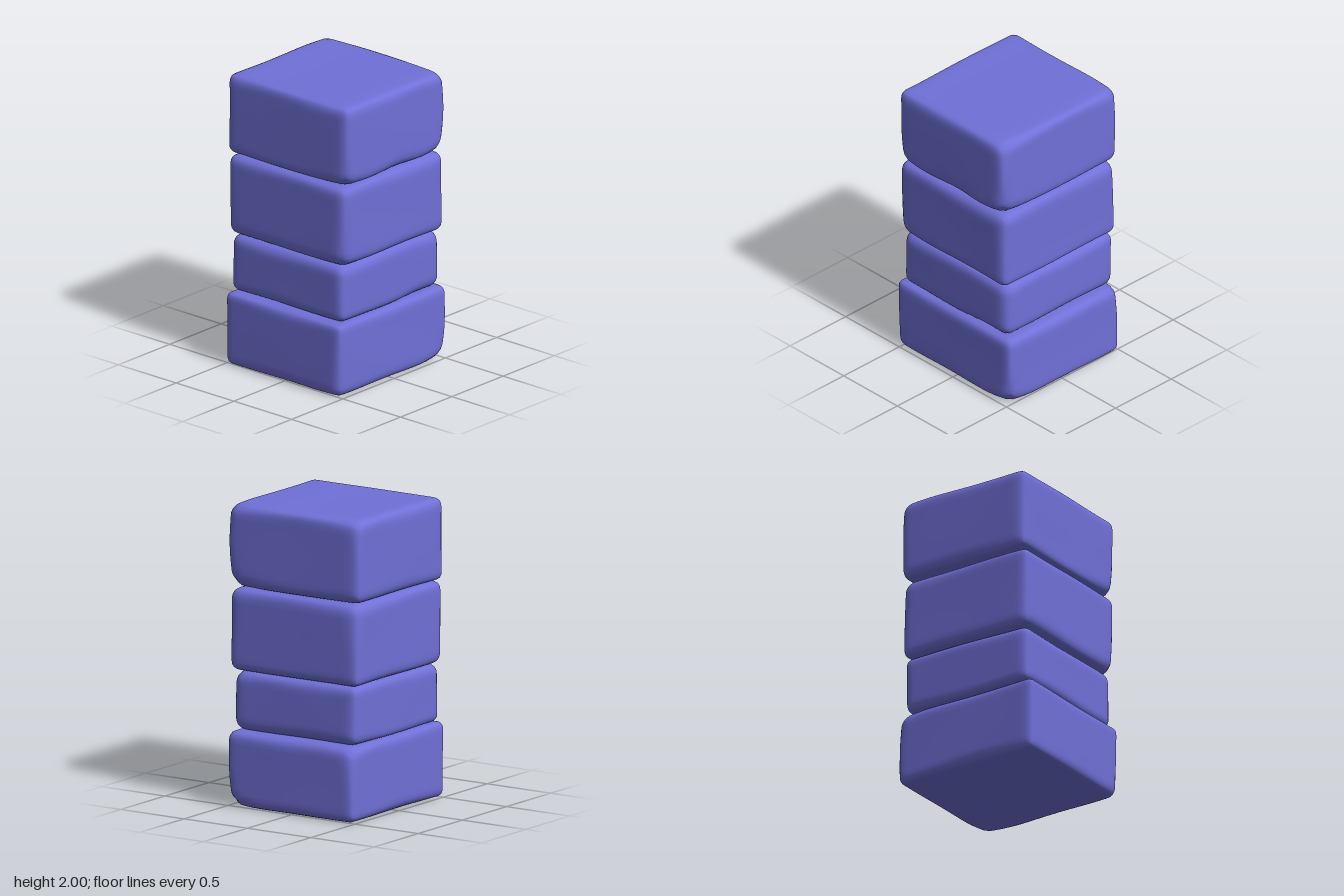
import * as THREE from 'three';
import { mergeVertices } from 'three/addons/utils/BufferGeometryUtils.js';

// Smooth repeatable unevenness, about -1..1
function wobble(p, seed) {
  return (Math.sin(p.x * 7 + seed * 2.1) + Math.sin(p.y * 9 + seed * 3.7 + p.x * 3) + Math.sin(p.z * 8 + seed * 1.3)) / 3;
}

// Worn stone block: a box whose edges are rounded by a varying radius.
// chips: [x, y, z, extra radius], with x, y, z in -1..1 of the block
function blockGeometry(w, h, d, seed, chips) {
  let geo = new THREE.BoxGeometry(2, 2, 2, 22, 18, 22);
  geo.deleteAttribute('uv');
  geo.deleteAttribute('normal');
  geo = mergeVertices(geo);
  const half = new THREE.Vector3(w / 2, h / 2, d / 2);
  const pos = geo.attributes.position;
  const p = new THREE.Vector3(), inner = new THREE.Vector3(), limit = new THREE.Vector3(), c = new THREE.Vector3();
  const crowd = (t) => Math.sin(t * Math.PI / 2); // more rows near the edges
  for (let i = 0; i < pos.count; i++) {
    p.fromBufferAttribute(pos, i);
    p.set(crowd(p.x), crowd(p.y), crowd(p.z)).multiply(half);
    let r = 0.062 + 0.02 * wobble(p, seed);
    for (const [x, y, z, extra] of chips) {
      c.set(x, y, z).multiply(half);
      r += extra * Math.exp(-p.distanceToSquared(c) / 0.025);
    }
    limit.copy(half).subScalar(r);
    inner.copy(p).clamp(limit.clone().negate(), limit);
    p.sub(inner).normalize().multiplyScalar(r).add(inner);
    p.multiplyScalar(1 + 0.005 * wobble(p, seed + 5));
    pos.setXYZ(i, p.x, p.y, p.z);
  }
  geo.computeVertexNormals();
  return geo;
}

export function createModel() {
  const group = new THREE.Group();
  const stone = new THREE.MeshStandardMaterial({ color: 0x7070d8 });
  stone.name = 'violet stone';

  // name, [x range], [y range], [z range], chips
  const blocks = [
    ['baseBlock', [-0.533, 0.53], [0.005, 0.505], [-0.5, 0.5],
      [[1, -1, 1, 0.06], [-1, -1, 1, 0.02], [1, 1, -1, 0.03]]],
    ['lowerBlock', [-0.49, 0.485], [0.505, 0.897], [-0.49, 0.485],
      [[0.5, -1, 1, 0.02], [1, 1, 1, 0.02]]],
    ['middleBlock', [-0.5, 0.487], [0.897, 1.445], [-0.505, 0.51],
      [[1, 1, -1, 0.02], [-1, -1, 1, 0.02]]],
    ['topBlock', [-0.49, 0.488], [1.45, 2], [-0.522, 0.525],
      [[1, -1, 1, 0.05], [-1, -1, 1, 0.05], [0.1, -1, 1, 0.03], [1, 1, 1, 0.03], [1, 1, -1, 0.02]]],
  ];
  blocks.forEach(([name, x, y, z, chips], i) => {
    const mesh = new THREE.Mesh(blockGeometry(x[1] - x[0], y[1] - y[0], z[1] - z[0], i + 1, chips), stone);
    mesh.name = name;
    mesh.position.set((x[0] + x[1]) / 2, (y[0] + y[1]) / 2, (z[0] + z[1]) / 2);
    group.add(mesh);
  });
  return group;
}
